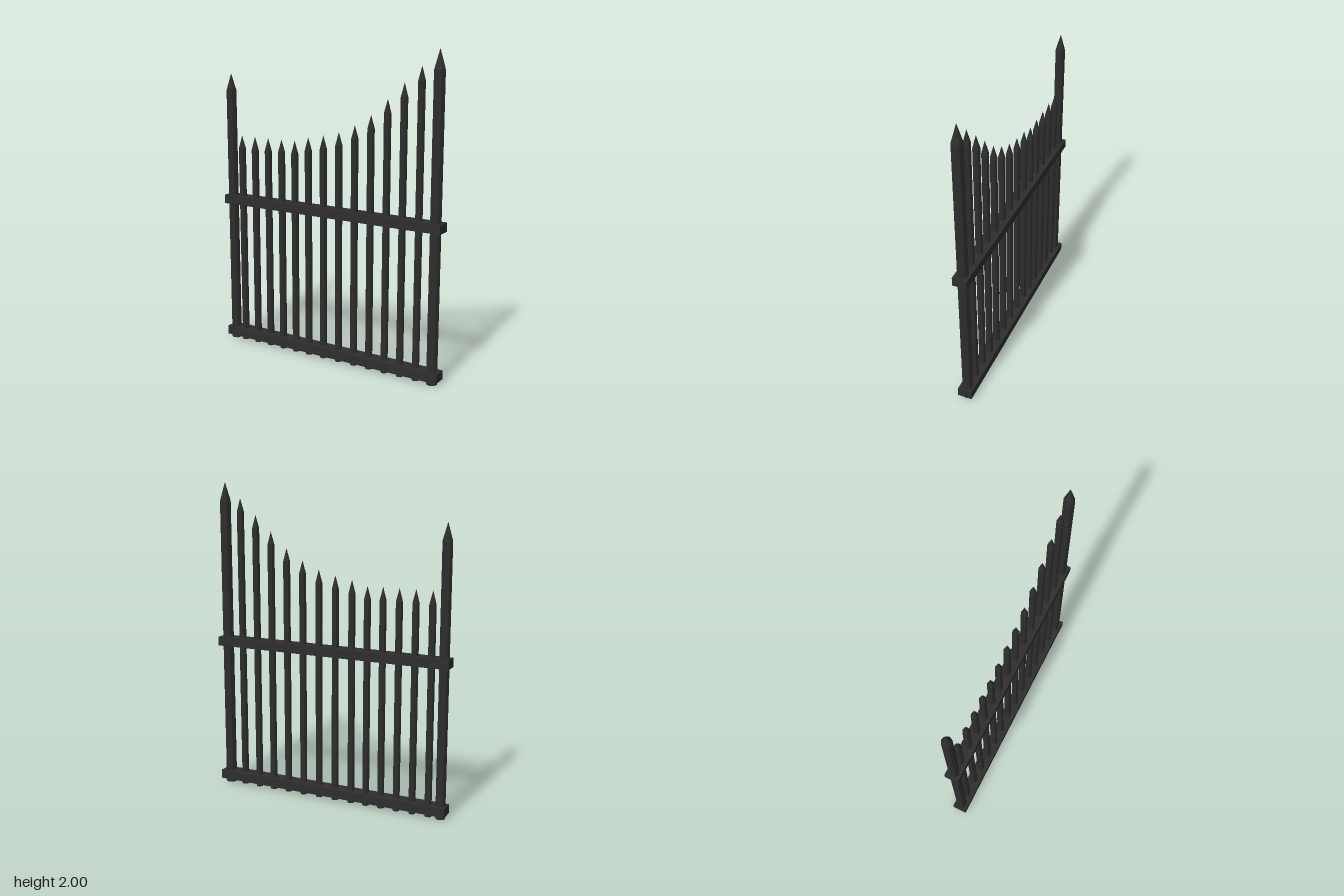
import * as THREE from 'three';

export function createModel() {
  const iron = new THREE.MeshStandardMaterial({ color: 0x2e2e2e, flatShading: true });
  iron.name = 'dark iron';
  const group = new THREE.Group();
  group.name = 'fencePanel';

  // Upright bar with a pointed tip, standing on the ground
  function addBar(name, x, top, radius, tip) {
    const profile = [[0, 0], [radius, 0], [radius, top - tip], [0, top]]
      .map(([r, y]) => new THREE.Vector2(r, y));
    const bar = new THREE.Mesh(new THREE.LatheGeometry(profile, 8), iron);
    bar.name = name;
    bar.position.x = x;
    group.add(bar);
  }

  // End posts
  addBar('rightPost', -0.75, 1.8, 0.032, 0.11);
  addBar('leftPost', 0.74, 2, 0.035, 0.12);

  // Pickets rising towards the tall post: [x, top]
  const pickets = [
    [-0.67, 1.4], [-0.565, 1.4], [-0.46, 1.4], [-0.355, 1.4], [-0.253, 1.4],
    [-0.15, 1.43], [-0.038, 1.45], [0.075, 1.48], [0.188, 1.53], [0.3, 1.6],
    [0.411, 1.7], [0.52, 1.8], [0.63, 1.9],
  ];
  pickets.forEach(([x, top], i) => addBar(`picket${i + 1}`, x, top, 0.023, 0.085));

  // Horizontal rails
  for (const [name, y] of [['lowerRail', 0.053], ['upperRail', 0.972]]) {
    const rail = new THREE.Mesh(new THREE.BoxGeometry(1.58, 0.057, 0.092), iron);
    rail.name = name;
    rail.position.y = y;
    group.add(rail);
  }
  return group;
}
